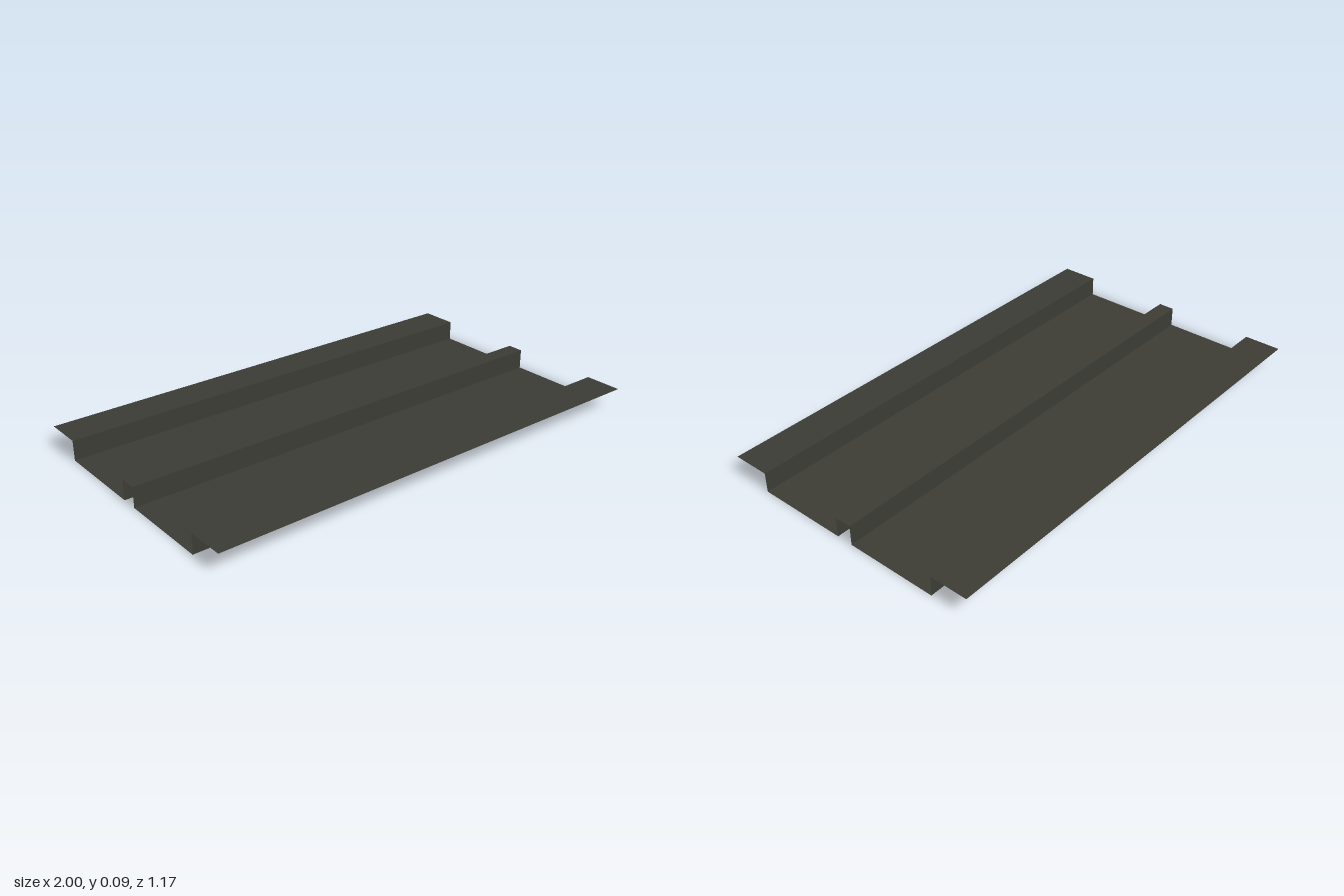
import * as THREE from 'three';

export function createModel() {
  const group = new THREE.Group();
  group.name = 'corrugatedPanel';
  const material = new THREE.MeshStandardMaterial({ color: 0x3c3c35, side: THREE.DoubleSide });
  material.name = 'dark olive grey metal';

  const length = 2, height = 0.085;
  const edge = 0.586, flange = 0.425, rib = 0.035;

  // Folded sheet profile from front to back: [z, y, name of the strip that starts here]
  const profile = [
    [edge, height, 'frontFlange'],
    [flange, height, 'frontWall'],
    [flange, 0, 'frontTrough'],
    [rib, 0, 'ribFrontWall'],
    [rib, height, 'ribTop'],
    [-rib, height, 'ribBackWall'],
    [-rib, 0, 'backTrough'],
    [-flange, 0, 'backWall'],
    [-flange, height, 'backFlange'],
    [-edge, height],
  ];

  // One flat strip per fold, its upper face outward
  for (let i = 0; i < profile.length - 1; i++) {
    const [z0, y0, name] = profile[i];
    const [z1, y1] = profile[i + 1];
    const strip = new THREE.Mesh(
      new THREE.PlaneGeometry(length, Math.hypot(z1 - z0, y1 - y0)), material);
    strip.name = name;
    strip.position.set(0, (y0 + y1) / 2, (z0 + z1) / 2);
    strip.rotation.x = Math.atan2(z1 - z0, y1 - y0);
    group.add(strip);
  }
  return group;
}
